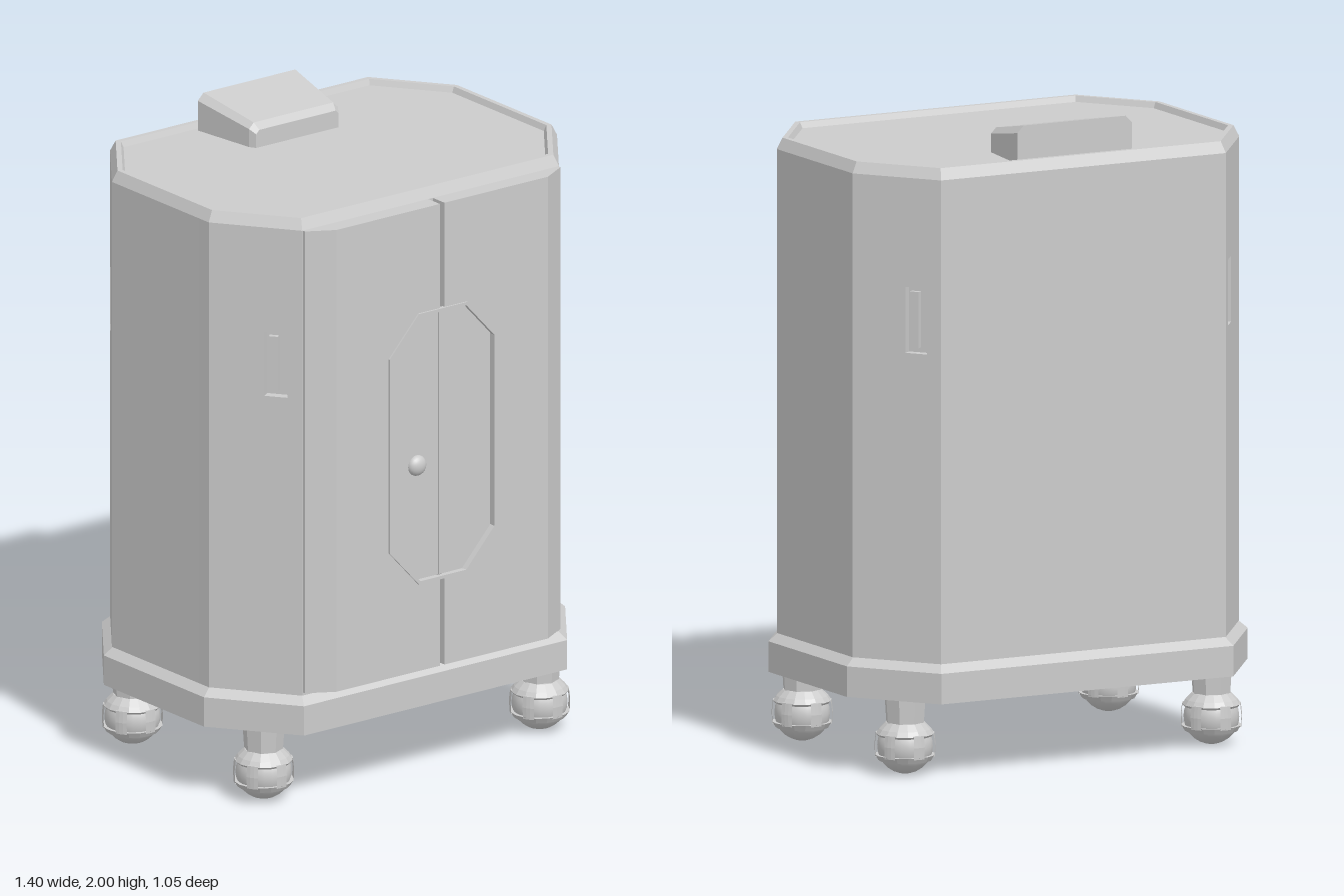
import * as THREE from 'three';

const mat = new THREE.MeshStandardMaterial({ color: 0xcccccc, flatShading: true, side: THREE.DoubleSide });
const smooth = new THREE.MeshStandardMaterial({ color: 0xcccccc, side: THREE.DoubleSide });
const ZC = -0.02; // centre of the cabinet in z

function add(parent, name, geometry, material = mat) {
  const mesh = new THREE.Mesh(geometry, material);
  mesh.name = name;
  parent.add(mesh);
  return mesh;
}

// Convex rings of points joined into a closed solid
function loft(rings) {
  const pos = [];
  const tri = (...pts) => pts.forEach((p) => pos.push(...p));
  const n = rings[0].length;
  for (let r = 0; r < rings.length - 1; r++) {
    for (let i = 0; i < n; i++) {
      const j = (i + 1) % n;
      const a = rings[r][i], b = rings[r][j], c = rings[r + 1][j], d = rings[r + 1][i];
      tri(a, b, c);
      tri(a, c, d);
    }
  }
  const first = rings[0], last = rings[rings.length - 1];
  for (let i = 1; i < n - 1; i++) {
    tri(first[0], first[i + 1], first[i]);
    tri(last[0], last[i], last[i + 1]);
  }
  const g = new THREE.BufferGeometry();
  g.setAttribute('position', new THREE.Float32BufferAttribute(pos, 3));
  g.computeVertexNormals();
  return g;
}

// Cabinet outline inset by d; cut moves only the corner faces inward
function outline(d, cut = 0) {
  return { hx: 0.7 - d, cx: 0.51 - 0.5 * d - cut / 0.8, hz: 0.505 - d, fz: 0.25 - 0.33 * d - cut / 0.6 };
}
function octagon(y, d, cut = 0) {
  const { hx, cx, hz, fz } = outline(d, cut);
  return [[-cx, hz], [cx, hz], [hx, fz], [hx, -fz], [cx, -hz], [-cx, -hz], [-hx, -fz], [-hx, fz]]
    .map(([x, z]) => [x, y, z + ZC]);
}

function shapeOf(points) {
  return new THREE.Shape(points.map(([x, y]) => new THREE.Vector2(x, y)));
}
function extrude(shape, depth, z = 0) {
  return new THREE.ExtrudeGeometry(shape, { depth, bevelEnabled: false }).translate(0, 0, z);
}

// Corner panel with a recessed hand grip, built for the +x +z corner
function cornerPanel(y0, y1, depth) {
  const group = new THREE.Group();
  const { hx, cx, hz, fz } = outline(0.025);
  const half = Math.hypot(hx - cx, hz - fz) / 2;
  const shape = shapeOf([[-half, y0], [half, y0], [half, y1], [-half, y1]]);
  const gx = -0.065, w = 0.036;
  shape.holes.push(new THREE.Path([[gx - w, 1.32], [gx - w, 1.525], [gx + w, 1.525], [gx + w, 1.32]]
    .map(([x, y]) => new THREE.Vector2(x, y))));
  const g = extrude(shape, depth, -depth);
  // mitre the back edges to meet the cabinet faces
  const p = g.attributes.position;
  for (let i = 0; i < p.count; i++) {
    if (p.getZ(i) > -depth / 2 || Math.abs(p.getX(i)) < half - 1e-4) continue;
    p.setX(i, p.getX(i) + (p.getX(i) < 0 ? -0.75 : 1.333) * depth);
  }
  add(group, 'cornerPanel', g);
  const grip = new THREE.BoxGeometry(0.03, 0.175, 0.016);
  add(group, 'gripBar', grip).position.set(gx + 0.012, 1.4225, -depth + 0.008);
  group.rotation.y = Math.atan2(hz - fz, hx - cx);
  group.position.set((cx + hx) / 2, 0, (hz + fz) / 2);
  return group;
}

// Ball caster with a ribbed cage
function caster() {
  const group = new THREE.Group();
  const v = (r, y) => new THREE.Vector2(r, y);
  add(group, 'casterStem', new THREE.CylinderGeometry(0.066, 0.058, 0.12, 8).translate(0, 0.19, 0));
  add(group, 'casterBall', new THREE.SphereGeometry(0.086, 20, 14).translate(0, 0.086, 0), smooth);
  add(group, 'casterCap', new THREE.LatheGeometry(
    [v(0.03, 0.165), v(0.06, 0.16), v(0.08, 0.14), v(0.09, 0.125), v(0.084, 0.118)], 16));
  add(group, 'casterRing', new THREE.LatheGeometry(
    [v(0.08, 0.06), v(0.093, 0.06), v(0.082, 0.042), v(0.07, 0.042)], 16));
  for (let i = 0; i < 6; i++) {
    add(group, 'casterRib', new THREE.LatheGeometry(
      [v(0.08, 0.13), v(0.09, 0.128), v(0.094, 0.092), v(0.092, 0.055), v(0.08, 0.053)],
      3, i * Math.PI / 3 - 0.2, 0.4));
  }
  return group;
}

export function createModel() {
  const model = new THREE.Group();
  model.name = 'cabinet';
  const y0 = 0.36, y1 = 1.865, depth = 0.028;

  add(model, 'base', loft([octagon(0.24, 0), octagon(0.335, 0), octagon(y0, 0.028)]));
  add(model, 'body', loft([octagon(y0, 0.025, depth), octagon(y1, 0.025, depth)]));
  add(model, 'lid', loft([octagon(y1, 0.025), octagon(1.9, 0.042),
    octagon(1.9, 0.058), octagon(1.882, 0.066)]));

  // Four corner panels, mirrored
  for (const sx of [1, -1]) {
    for (const sz of [1, -1]) {
      const corner = new THREE.Group();
      corner.name = 'corner';
      corner.add(cornerPanel(y0, y1, depth));
      corner.scale.set(sx, 1, sz);
      corner.position.z = ZC;
      model.add(corner);
    }
  }

  // Double doors with a bevelled outer edge and a recessed eight-sided plate
  const zBack = 0.455, zFront = 0.518;
  for (const s of [1, -1]) {
    const mirror = (pts) => shapeOf(pts.map(([x, y]) => [s * x, y]));
    add(model, 'door', extrude(mirror([[0.009, 0.37], [0.41, 0.37], [0.41, 1.865], [0.009, 1.865],
      [0.009, 1.52], [0.09, 1.52], [0.2, 1.4], [0.2, 0.78], [0.09, 0.66], [0.009, 0.66]]),
    zFront - zBack, zBack));
    const edge = extrude(mirror([[0.41, -zBack], [0.495, -zBack], [0.495, -0.47], [0.41, -zFront]]), 1.495);
    add(model, 'doorEdge', edge.rotateX(-Math.PI / 2).translate(0, 0.37, 0));
    add(model, 'doorPlate', extrude(mirror([[0.0015, 0.66], [0.09, 0.66], [0.2, 0.78],
      [0.2, 1.4], [0.09, 1.52], [0.0015, 1.52]]), 0.045, zBack));
  }
  const eight = (k) => [[0.09, 0.66], [0.2, 0.78], [0.2, 1.4], [0.09, 1.52],
    [-0.09, 1.52], [-0.2, 1.4], [-0.2, 0.78], [-0.09, 0.66]]
    .map(([x, y]) => new THREE.Vector2(x + Math.sign(x) * k * (Math.abs(x) > 0.1 ? 1 : 0.5),
      y + Math.sign(y - 1.09) * k * (Math.abs(x) > 0.1 ? 0.5 : 1)));
  const rim = new THREE.Shape(eight(0.008));
  rim.holes.push(new THREE.Path(eight(-0.002)));
  add(model, 'plateRim', extrude(rim, 0.015, 0.509));
  const knob = new THREE.SphereGeometry(0.033, 20, 8, 0, Math.PI * 2, 0, Math.PI / 2);
  knob.scale(1, 0.7, 1).rotateX(Math.PI / 2);
  add(model, 'knob', knob, smooth).position.set(-0.085, 1.03, 0.5);

  // Sloped control console on the lid
  const section = (z, w, top, bevel) => [[w, 1.88], [w, top - bevel], [w - bevel, top],
    [bevel - w, top], [-w, top - bevel], [-w, 1.88]].map(([x, y]) => [x, y, z]);
  add(model, 'console', loft([section(-0.445, 0.2, 2, 0.022), section(-0.225, 0.172, 1.958, 0.018),
    section(-0.205, 0.16, 1.938, 0.012)]));

  // Casters
  for (const x of [0.535, -0.535]) {
    for (const z of [0.315, -0.34]) {
      const c = caster();
      c.name = 'caster';
      c.position.set(x, 0, z);
      model.add(c);
    }
  }
  return model;
}
